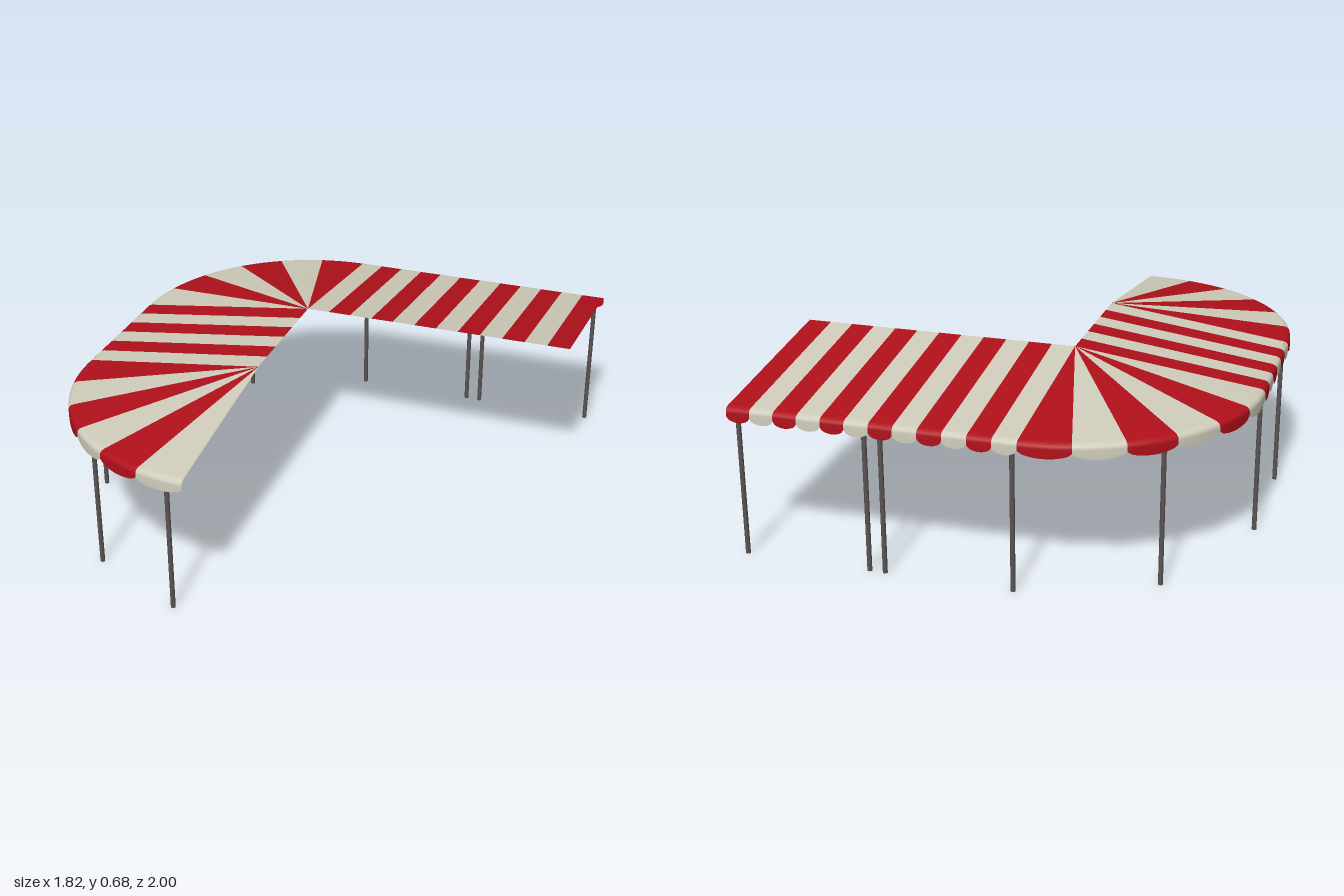
import * as THREE from 'three';

const R = 0.727;           // depth of the canopy from ridge to valance
const W = 0.0907;          // width of a straight stripe
const CX = -0.18, CZ = 0.273;
const red = new THREE.MeshStandardMaterial({ color: 0xb0101a, side: THREE.DoubleSide });
const cream = new THREE.MeshStandardMaterial({ color: 0xcfccba, side: THREE.DoubleSide });
const steel = new THREE.MeshStandardMaterial({ color: 0x5a5354 });

// Cross-section: distance from the ridge and height, sloping out to a rounded lip
const profile = [[0.0005, 0.68], [0.35, 0.634], [0.69, 0.589], [0.706, 0.587],
  [0.718, 0.583], [0.725, 0.576], [R, 0.566]];

// One stripe; place(t) gives the ridge point and outward angle for t from 0 to 1
function stripe(place, material, name) {
  const n = 12, pos = [], idx = [], rows = profile.length + 1;
  for (let i = 0; i <= n; i++) {
    const t = i / n;
    const { x, z, a } = place(t);
    const hem = 0.552 - 0.022 * Math.sqrt(Math.sin(Math.PI * Math.min(t, 1 - t)));
    for (const [d, y] of [...profile, [R, hem]]) {
      pos.push(x - Math.sin(a) * d, y, z - Math.cos(a) * d);
    }
  }
  for (let i = 0; i < n; i++) {
    for (let j = 0; j < rows - 1; j++) {
      const p = i * rows + j, q = p + rows;
      idx.push(p, p + 1, q, q, p + 1, q + 1);
    }
  }
  const geo = new THREE.BufferGeometry();
  geo.setAttribute('position', new THREE.Float32BufferAttribute(pos, 3));
  geo.setIndex(idx);
  geo.computeVertexNormals();
  const mesh = new THREE.Mesh(geo, material);
  mesh.name = name;
  return mesh;
}

// A run of alternating stripes, red first
function section(name, count, place) {
  const group = new THREE.Group();
  group.name = name;
  for (let k = 0; k < count; k++) {
    const odd = k % 2;
    group.add(stripe(t => place(k + t), odd ? cream : red, odd ? 'creamStripe' : 'redStripe'));
  }
  return group;
}

export function createModel() {
  const model = new THREE.Group();
  model.name = 'stripedCanopy';
  const step = Math.PI / 12;

  // Canopy: long arm, corner fan, short side, end fan
  model.add(
    section('backArm', 12, s => ({ x: CX + (12 - s) * W, z: -CZ, a: 0 })),
    section('cornerFan', 6, s => ({ x: CX, z: -CZ, a: s * step })),
    section('sideRun', 6, s => ({ x: CX, z: -CZ + s * CZ / 3, a: Math.PI / 2 })),
    section('endFan', 6, s => ({ x: CX, z: CZ, a: Math.PI / 2 + s * step })),
  );

  // Poles along the outer edge
  const poles = new THREE.Group();
  poles.name = 'poles';
  const height = 0.585;
  const poleGeo = new THREE.CylinderGeometry(0.009, 0.009, height, 16);
  const spots = [[0.875, -0.975], [0.39, -0.975], [0.33, -0.975], [-0.155, -0.975],
    [-0.643, -0.778], [-0.886, -0.242], [-0.886, 0.245], [-0.643, 0.768], [-0.263, 0.95]];
  for (const [x, z] of spots) {
    const pole = new THREE.Mesh(poleGeo, steel);
    pole.name = 'pole';
    pole.position.set(x, height / 2, z);
    poles.add(pole);
  }
  model.add(poles);
  return model;
}
